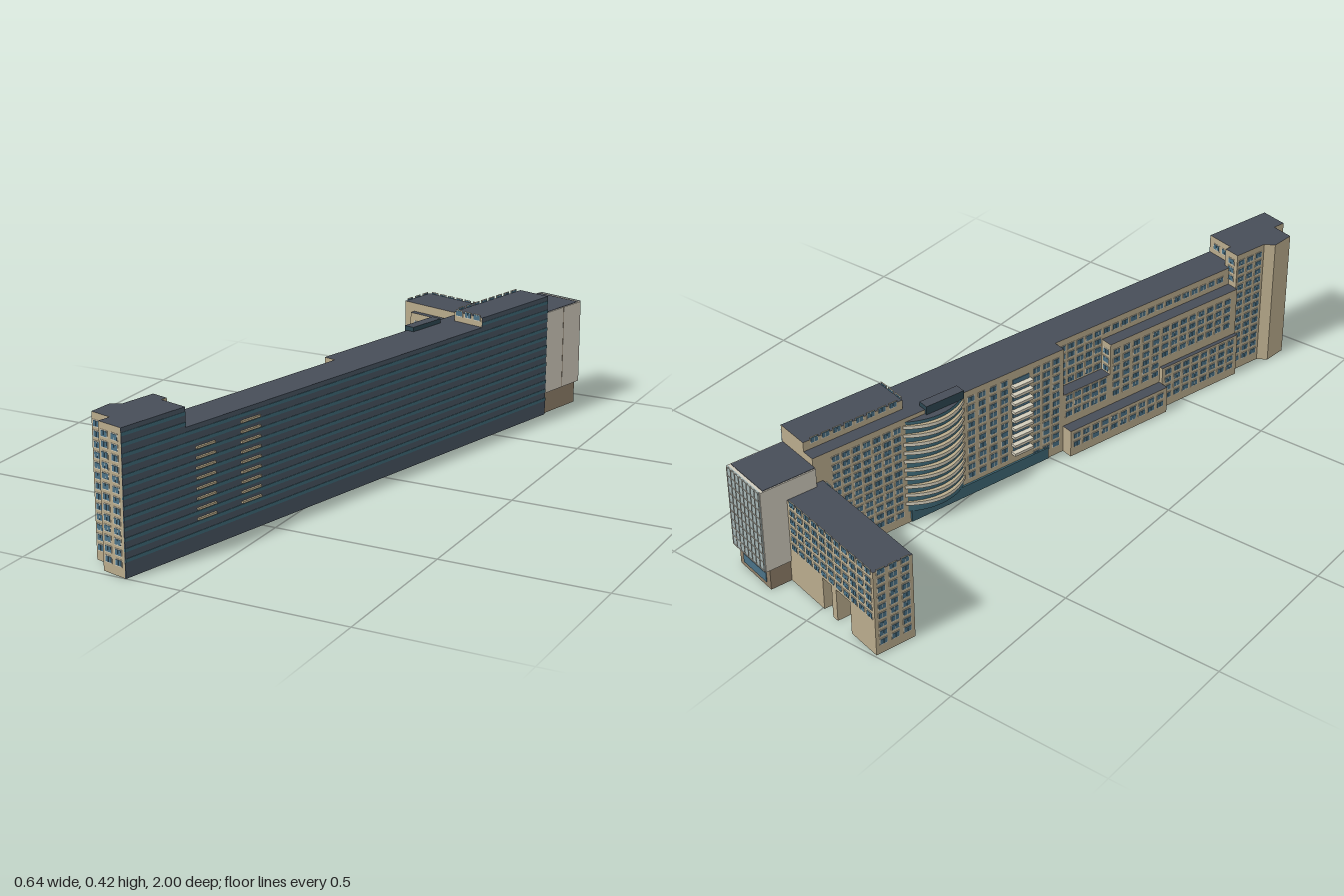
import * as THREE from 'three';
import { mergeGeometries } from 'three/addons/utils/BufferGeometryUtils.js';

const mat = (color) => new THREE.MeshStandardMaterial({ color, side: THREE.DoubleSide });
const M = {
  tan: mat(0xb9ab8c), brown: mat(0x8f7f69), roof: mat(0x474d58), slate: mat(0x46525f), teal: mat(0x3d6674),
  pane: mat(0x4a7186), frame: mat(0xd2ccba), pale: mat(0xcfcabc), glass: mat(0xa3b3b3), dark: mat(0x2c4650),
};
const FLOOR = 0.0293;

// The building is laid out in s (along the slab, south to north) and t (westwards
// from the long east wall); the group is then turned as a whole.
export function createModel() {
  const root = new THREE.Group();
  root.name = 'slabBuilding';
  const plan = new THREE.Group();
  plan.name = 'buildingParts';
  plan.position.set(-0.17, 0, 1.0);
  plan.rotation.y = -0.2503;
  root.add(plan);

  const add = (name, geo, m) => {
    const mesh = new THREE.Mesh(geo, m);
    mesh.name = name;
    plan.add(mesh);
    return mesh;
  };
  const boxGeo = (s0, s1, t0, t1, y0, y1) =>
    new THREE.BoxGeometry(t1 - t0, y1 - y0, s1 - s0).translate(-(t0 + t1) / 2, (y0 + y1) / 2, -(s0 + s1) / 2);
  const box = (name, m, ...r) => add(name, boxGeo(...r), m);

  // Walls and roof over a footprint of [s, t] corners, open underneath
  function prism(name, pts, y0, y1, wall = M.tan, roof = M.roof) {
    let p = pts.map(([s, t]) => new THREE.Vector2(-t, s));
    if (THREE.ShapeUtils.isClockWise(p)) p = p.reverse();
    const pos = [], idx = [];
    p.forEach((a, i) => {
      const b = p[(i + 1) % p.length], k = i * 4;
      pos.push(a.x, y0, -a.y, b.x, y0, -b.y, b.x, y1, -b.y, a.x, y1, -a.y);
      idx.push(k, k + 1, k + 2, k, k + 2, k + 3);
    });
    const g = new THREE.BufferGeometry();
    g.setAttribute('position', new THREE.Float32BufferAttribute(pos, 3));
    g.setIndex(idx);
    g.computeVertexNormals();
    add(name + 'Walls', g, wall);
    add(name + 'Roof', new THREE.ShapeGeometry(new THREE.Shape(p)).rotateX(-Math.PI / 2).translate(0, y1, 0), roof);
  }
  const block = (name, s0, s1, t0, t1, y0, y1, wall, roof) =>
    prism(name, [[s0, t0], [s1, t0], [s1, t1], [s0, t1]], y0, y1, wall, roof);

  // Rows of two-pane windows; 'along' is the axis the wall runs on
  const panes = [], frames = [];
  function windows(along, at, a0, a1, y0, y1) {
    const n = Math.max(1, Math.round((a1 - a0) / 0.036)), step = (a1 - a0) / n;
    const put = (list, c, w, y, h, d) => list.push(along === 's'
      ? boxGeo(c - w / 2, c + w / 2, at - d, at + d, y - h / 2, y + h / 2)
      : boxGeo(at - d, at + d, c - w / 2, c + w / 2, y - h / 2, y + h / 2));
    for (let y = 0.039; y < y1 - 0.01; y += FLOOR) {
      if (y < y0 + 0.009) continue;
      for (let i = 0; i < n; i++) {
        const c = a0 + (i + 0.5) * step;
        put(frames, c, 0.027, y, 0.021, 0.001);
        for (const k of [-1, 1]) put(panes, c + k * 0.006, 0.0105, y, 0.016, 0.002);
      }
    }
  }

  // South tower with stepped and chamfered west side
  prism('southTower', [[0, 0], [0, 0.085], [0.04, 0.085], [0.04, 0.156], [0.115, 0.168],
    [0.138, 0.143], [0.25, 0.143], [0.25, 0.09], [0.23, 0.09], [0.23, 0]], 0, 0.421);
  windows('t', 0, 0.005, 0.083, 0.02, 0.421);
  windows('t', 0.04, 0.088, 0.154, 0.02, 0.421);
  windows('s', 0.143, 0.142, 0.25, 0.02, 0.421);
  windows('t', 0.25, 0.095, 0.14, 0.31, 0.421);
  windows('t', 0.23, 0.01, 0.085, 0.365, 0.421);

  // Long slab: slimmer southern half, deeper northern half
  prism('mainSlab', [[0.23, 0], [1.817, 0], [1.817, 0.15], [0.94, 0.15], [0.94, 0.11], [0.23, 0.11]], 0, 0.363);
  windows('s', 0.11, 0.27, 0.76, 0.31, 0.363);
  windows('s', 0.11, 0.76, 0.93, 0.2, 0.363);
  windows('s', 0.15, 0.95, 1.06, 0.02, 0.363);
  windows('s', 0.15, 1.14, 1.3, 0.05, 0.363);
  windows('s', 0.15, 1.52, 1.76, 0.02, 0.363);

  // Stepped western annexes
  block('upperAnnex', 0.25, 0.76, 0.11, 0.15, 0, 0.305);
  windows('s', 0.15, 0.27, 0.56, 0.15, 0.305);
  windows('s', 0.15, 0.56, 0.755, 0.09, 0.305);
  windows('t', 0.76, 0.112, 0.148, 0.2, 0.305);
  block('middleAnnex', 0.76, 0.94, 0.11, 0.15, 0, 0.2);
  windows('s', 0.15, 0.77, 0.935, 0.09, 0.2);
  windows('t', 0.94, 0.112, 0.148, 0.09, 0.2);
  block('southPodium', 0.25, 0.56, 0.15, 0.163, 0, 0.145);
  windows('s', 0.163, 0.26, 0.555, 0.02, 0.145);
  block('lowPodium', 0.56, 0.94, 0.15, 0.187, 0, 0.09);
  windows('s', 0.187, 0.57, 0.935, 0.02, 0.09);

  // Rooftop storey at the north end
  block('penthouse', 1.486, 1.817, 0, 0.108, 0.36, 0.393);
  windows('t', 1.486, 0.002, 0.106, 0.365, 0.42);
  windows('s', 0.108, 1.5, 1.8, 0.365, 0.42);

  // Dark east facade and its glazed bands
  box('eastFacade', M.slate, 0, 1.817, -0.0015, 0.0015, 0, 0.363);
  box('eastFacadeTower', M.slate, 0, 0.23, -0.0015, 0.0015, 0.363, 0.421);
  box('eastFacadePenthouse', M.slate, 1.486, 1.817, -0.0015, 0.0015, 0.363, 0.393);
  const bands = [];
  for (let i = 0; i < 13; i++) {
    const y = 0.046 + i * FLOOR;
    const [s0, s1] = i < 11 ? [0, 1.817] : i === 11 ? [1.486, 1.817] : [0, 0.23];
    bands.push(boxGeo(s0, s1, -0.003, 0.002, y, y + 0.01));
    if (i === 11) bands.push(boxGeo(0, 0.23, -0.003, 0.002, y, y + 0.01));
  }
  add('eastWindowBands', mergeGeometries(bands), M.teal);

  // Small balconies on the east facade
  const balconies = [];
  for (let i = 0; i < 9; i++) {
    const y = 0.089 + i * FLOOR;
    if (i < 8) balconies.push(boxGeo(0.265, 0.335, -0.008, 0.004, y, y + 0.006));
    balconies.push(boxGeo(0.435, 0.51, -0.008, 0.004, y, y + 0.006));
  }
  add('eastBalconies', mergeGeometries(balconies), M.tan);

  // Bowed glazed bay with curved balcony slabs on the west side
  const arc = (half, bulge) => {
    const pts = [];
    for (let i = 0; i <= 10; i++) {
      const k = i / 5 - 1;
      pts.push([1.41 + k * half, 0.149 + bulge * (1 - k * k)]);
    }
    return pts;
  };
  prism('bowedBay', arc(0.1, 0.03), 0.04, 0.35, M.teal);
  for (let i = 0; i < 10; i++) {
    const y = 0.065 + i * FLOOR;
    prism('bayBalcony', arc(0.108, 0.042), y, y + 0.011, M.frame, M.tan);
  }
  block('bayRoofHousing', 1.31, 1.44, 0.125, 0.158, 0.35, 0.377, M.dark);

  // Straight balcony stack and street-level glazing
  for (let i = 0; i < 9; i++) {
    const y = 0.075 + i * FLOOR;
    box('westBalcony', M.frame, 1.065, 1.135, 0.148, 0.168, y, y + 0.009);
    box('westBalconyDoor', M.pane, 1.07, 1.13, 0.148, 0.152, y + 0.009, y + 0.024);
  }
  box('streetGlazing', M.teal, 1.0, 1.5, 0.147, 0.156, 0.003, 0.042);

  // Northern end block: pale volume overhanging a brown base
  block('endBlockBase', 1.817, 1.982, 0.006, 0.16, 0, 0.07, M.brown);
  box('endBlock', M.pale, 1.817, 1.996, 0, 0.165, 0.07, 0.338);
  box('endBlockRoof', M.roof, 1.817, 1.985, 0.004, 0.161, 0.336, 0.3395);
  box('endBlockGlassWall', M.glass, 1.995, 1.999, 0.003, 0.162, 0.073, 0.34);
  box('endBlockShopWindow', M.pane, 1.98, 1.984, 0.025, 0.14, 0.015, 0.045);
  box('endBlockJoint', M.brown, 1.905, 1.907, -0.0007, 0.001, 0.07, 0.338);
  const bars = [];
  for (let i = 0; i <= 9; i++) bars.push(boxGeo(1.998, 2.0005, 0.003, 0.162, 0.073 + i * FLOOR, 0.0755 + i * FLOOR));
  for (let i = 0; i <= 8; i++) bars.push(boxGeo(1.998, 2.0005, 0.003 + i * 0.0196, 0.005 + i * 0.0196, 0.073, 0.338));
  add('endBlockGlazingBars', mergeGeometries(bars), M.pale);

  // North wing with a pillared passage at ground level
  const W0 = 1.787, W1 = 1.914;
  block('wingInner', W0, W1, 0.15, 0.32, 0, 0.11);
  block('wingOuter', W0, W1, 0.45, 0.565, 0, 0.11);
  block('wingPillar', W0, W1, 0.362, 0.384, 0, 0.11);
  box('passageCeiling', M.tan, W0, W1, 0.32, 0.45, 0.108, 0.112);
  block('wingUpper', W0, W1, 0.13, 0.565, 0.11, 0.278);
  windows('t', W1, 0.17, 0.56, 0.11, 0.285);
  windows('t', W0, 0.16, 0.2, 0.02, 0.285);
  windows('s', 0.565, W0 + 0.005, W1 - 0.005, 0.02, 0.285);
  block('wingBay', 1.768, W0, 0.2, 0.525, 0.11, 0.25);
  windows('t', 1.768, 0.21, 0.515, 0.11, 0.25);
  windows('t', W0, 0.46, 0.56, 0.02, 0.11);

  add('windowFrames', mergeGeometries(frames), M.frame);
  add('windowPanes', mergeGeometries(panes), M.pane);
  return root;
}
